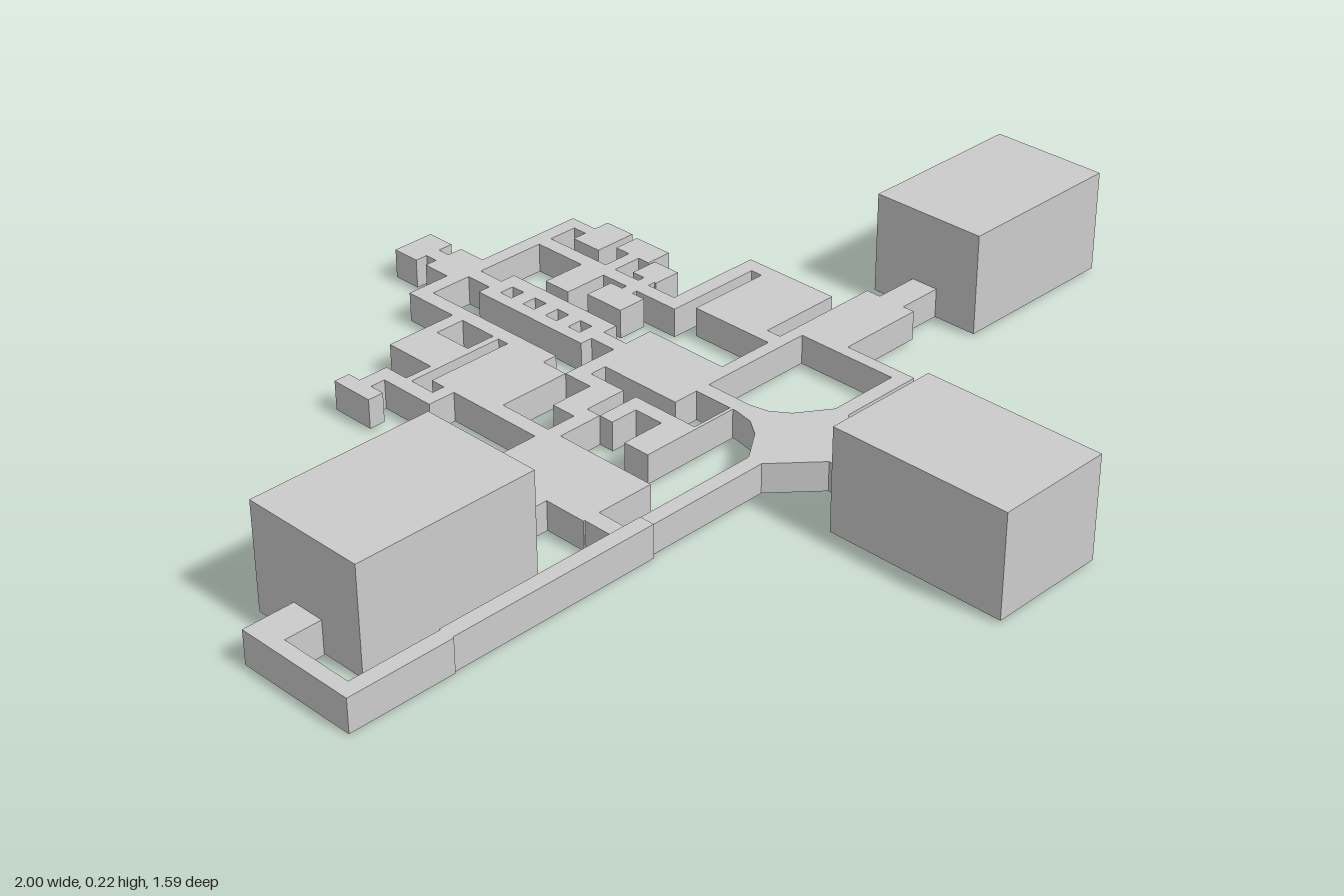
import * as THREE from 'three';

const LOW = 0.066, TALL = 0.216, BASE = 0.005;

export function createModel() {
  const group = new THREE.Group();
  const material = new THREE.MeshStandardMaterial({ color: 0xcccccc, flatShading: true, side: THREE.DoubleSide });
  const parts = [];
  // Each part is a set of plan rectangles [x0, z0, x1, z1] sharing one roof height
  const part = (name, rects, height = LOW, base = BASE) => parts.push({ name, rects, height, base });

  // Doorways into the hub, left open: the hub itself is built below
  part(null, [[0.035, 0.1, 0.067, 0.15], [-0.062, 0.22, -0.03, 0.251], [0.13, 0.22, 0.165, 0.251], [0.025, 0.38, 0.085, 0.417]]);

  // Three tall halls
  part('rightHall', [[-0.895, -0.096, -0.515, 0.166]], 0.222, 0.003);
  part('frontHall', [[-0.068, 0.417, 0.178, 0.79]], TALL);
  part('leftHall', [[0.63, -0.09, 1, 0.16]], TALL);

  // Long corridor looping round the right hall
  part('rightLoop', [
    [-1, 0, -0.895, 0.07], [-1, 0, -0.97, 0.257], [-1, 0.225, -0.78, 0.257],
    [-0.78, 0.222, -0.33, 0.254]], 0.069, 0);
  part('rightLoopEnd', [[-0.33, 0.22, -0.062, 0.251]]);
  part('rightRoom', [
    [-0.515, 0, -0.403, 0.07], [-0.403, -0.096, -0.243, 0.16], [-0.4, 0.16, -0.366, 0.222],
    [-0.275, -0.214, -0.243, -0.096]]);

  // Central room and the winding passage beside it
  part('centralRoom', [[-0.02, -0.214, 0.13, 0], [0.035, 0, 0.067, 0.1]]);
  part('windingPassage', [
    [-0.088, -0.214, -0.02, -0.18], [-0.088, -0.18, -0.056, -0.15], [-0.18, -0.15, -0.056, -0.096],
    [-0.243, -0.096, -0.147, -0.064], [-0.147, -0.064, -0.056, -0.032], [-0.18, -0.096, -0.147, -0.064],
    [-0.088, -0.032, -0.056, 0.032], [-0.18, 0.032, -0.056, 0.09], [-0.088, 0.083, 0.035, 0.09]]);

  // Back right rooms
  part('backRightRooms', [
    [-0.275, -0.37, -0.088, -0.214], [-0.243, -0.524, -0.152, -0.406], [-0.152, -0.524, -0.088, -0.495],
    [-0.302, -0.41, -0.088, -0.395], [-0.334, -0.337, -0.275, -0.31], [-0.334, -0.465, -0.302, -0.31],
    [-0.366, -0.465, -0.302, -0.433], [-0.4, -0.495, -0.366, -0.4]]);
  part('backCorridor', [
    [-0.088, -0.647, -0.056, -0.273], [-0.088, -0.647, 0.345, -0.615], [0.318, -0.615, 0.345, -0.583],
    [0.286, -0.583, 0.38, -0.513], [0.222, -0.615, 0.254, -0.24]]);
  part('backEntrance', [
    [0.008, -0.8, 0.1, -0.738], [0.035, -0.738, 0.067, -0.71], [0.008, -0.71, 0.1, -0.647],
    [0.035, -0.615, 0.067, -0.556]]);

  // Ladder-shaped gallery: two aisles joined by cross passages
  const gallery = [[0.008, -0.556, 0.035, -0.273], [0.067, -0.556, 0.1, -0.273], [0.035, -0.273, 0.067, -0.214]];
  for (let i = 0; i < 5; i++) {
    const z = -0.556 + i * 0.0627;
    gallery.push([0.035, z, 0.067, z + 0.0322]);
  }
  part('gallery', gallery);

  // Small cells either side of the back left corridor
  part('backLeftCells', [
    [0.127, -0.495, 0.222, -0.433], [0.254, -0.46, 0.318, -0.433], [0.318, -0.495, 0.375, -0.406],
    [0.147, -0.4, 0.21, -0.31], [0.21, -0.37, 0.27, -0.342], [0.27, -0.4, 0.33, -0.337]]);

  // Left wing
  part('leftRooms', [
    [0.222, -0.273, 0.468, -0.24], [0.436, -0.24, 0.468, -0.214], [0.254, -0.214, 0.468, -0.059],
    [0.254, -0.059, 0.286, -0.027], [0.13, -0.027, 0.533, 0], [0.318, -0.027, 0.533, 0.09],
    [0.533, 0.005, 0.63, 0.064]]);
  part('leftCorridor', [[0.318, 0.09, 0.345, 0.251], [0.165, 0.22, 0.345, 0.251]]);

  // Plan grid from all rectangle edges; the tallest part owns each cell
  const edges = (a, b) => [...new Set(parts.flatMap(p => p.rects.flatMap(r => [r[a], r[b]])))].sort((m, n) => m - n);
  const xs = edges(0, 2), zs = edges(1, 3);
  const owner = (i, j) => {
    if (i < 0 || j < 0 || i >= xs.length - 1 || j >= zs.length - 1) return null;
    const x = (xs[i] + xs[i + 1]) / 2, z = (zs[j] + zs[j + 1]) / 2;
    let best = null;
    for (const p of parts) {
      if (p.rects.some(r => x > r[0] && x < r[2] && z > r[1] && z < r[3]) && (!best || p.height > best.height)) best = p;
    }
    return best;
  };
  const cells = xs.map((_, i) => zs.map((_, j) => owner(i, j)));

  const quad = (out, a, b, c, d) => out.push(...a, ...b, ...c, ...a, ...c, ...d);
  // Upright wall; the outside is on the right hand going from a to b
  const wall = (out, ax, az, bx, bz, y0, y1) =>
    quad(out, [bx, y0, bz], [ax, y0, az], [ax, y1, az], [bx, y1, bz]);
  const addMesh = (name, positions) => {
    const geometry = new THREE.BufferGeometry();
    geometry.setAttribute('position', new THREE.Float32BufferAttribute(positions, 3));
    geometry.computeVertexNormals();
    const mesh = new THREE.Mesh(geometry, material);
    mesh.name = name;
    group.add(mesh);
  };

  // Roofs, and walls wherever the neighbouring cell is lower; floors stay open
  for (const p of parts) {
    if (!p.name) continue;
    const out = [];
    for (let i = 0; i < xs.length - 1; i++) for (let j = 0; j < zs.length - 1; j++) {
      if (cells[i][j] !== p) continue;
      const [x0, x1, z0, z1, h] = [xs[i], xs[i + 1], zs[j], zs[j + 1], p.height];
      quad(out, [x0, h, z0], [x0, h, z1], [x1, h, z1], [x1, h, z0]);
      const side = (di, dj, ...line) => {
        const n = cells[i + di]?.[j + dj];
        const y0 = n ? n.height : p.base;
        if (y0 < h) wall(out, ...line, y0, h);
      };
      side(-1, 0, x0, z1, x0, z0);
      side(1, 0, x1, z0, x1, z1);
      side(0, -1, x0, z0, x1, z0);
      side(0, 1, x1, z1, x0, z1);
    }
    addMesh(p.name, out);
  }

  // Junction hub: flared polygon with four open ends
  const hub = [
    [0.035, 0.1], [0.067, 0.1], [0.075, 0.14], [0.1, 0.175], [0.165, 0.22], [0.165, 0.251], [0.085, 0.33], [0.085, 0.417],
    [0.025, 0.417], [0.025, 0.33], [-0.062, 0.251], [-0.062, 0.22], [0.002, 0.175], [0.027, 0.14]];
  const openEnds = [0, 4, 7, 10];
  const walls = [];
  hub.forEach(([x, z], i) => {
    const [nx, nz] = hub[(i + 1) % hub.length];
    if (!openEnds.includes(i)) wall(walls, x, z, nx, nz, BASE, LOW);
  });
  addMesh('hubWalls', walls);
  const roof = new THREE.ShapeGeometry(new THREE.Shape(hub.map(([x, z]) => new THREE.Vector2(x, -z))));
  roof.rotateX(-Math.PI / 2).translate(0, LOW, 0);
  const hubRoof = new THREE.Mesh(roof, material);
  hubRoof.name = 'hubRoof';
  group.add(hubRoof);

  return group;
}
